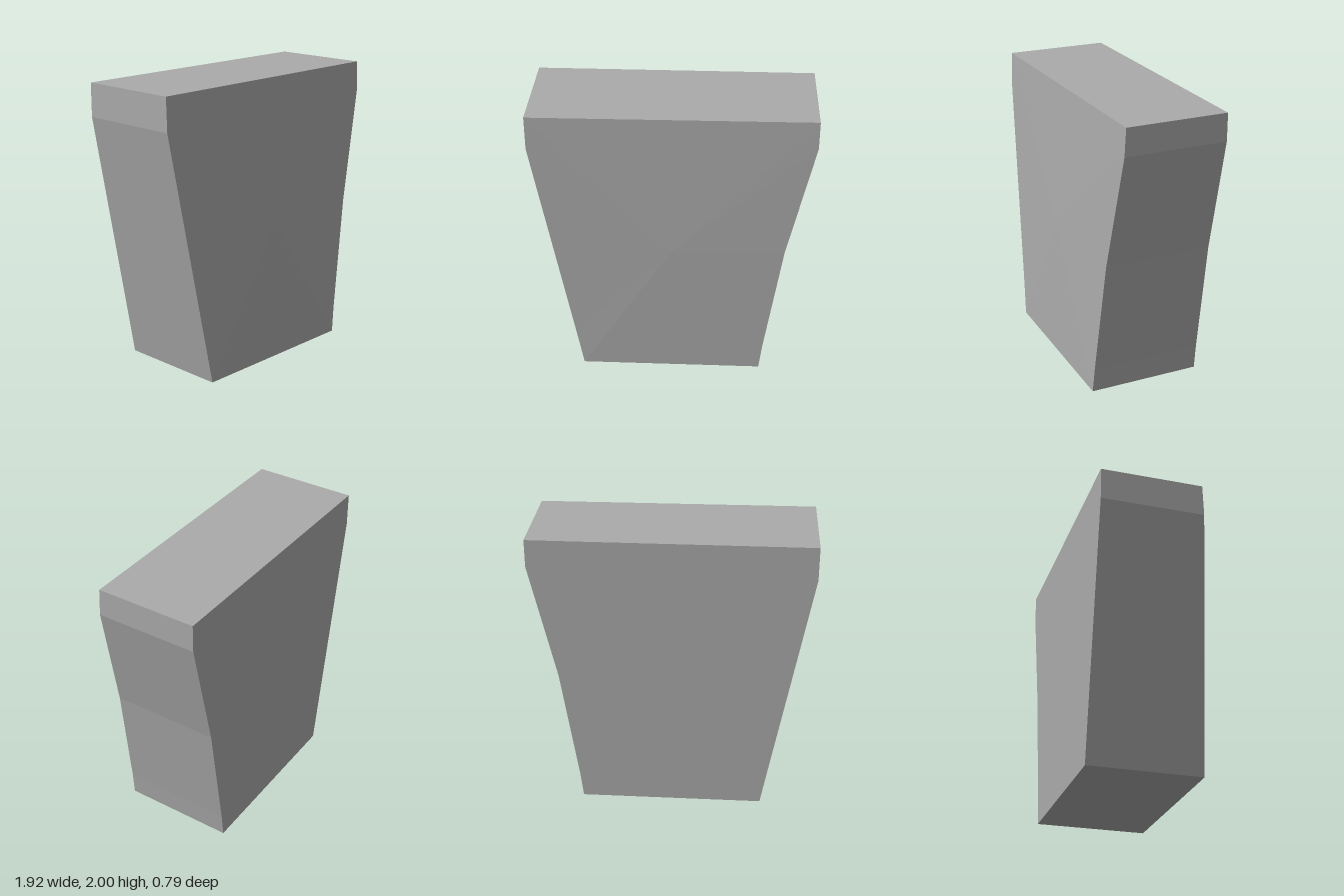
import * as THREE from 'three';

export function createModel() {
  const group = new THREE.Group();
  const grey = new THREE.MeshStandardMaterial({ color: 0xaaaaaa });
  grey.name = 'plain grey';

  // Front outline, counter-clockwise: x, y, front depth z
  const outline = [
    [-0.64, 0, 0.397], [0.64, 0, 0.397], [0.66, 0.18, 0.39], [0.78, 1.0, 0.36],
    [0.96, 1.81, 0.32], [0.96, 2, 0.31], [-0.96, 2, 0.328], [-0.96, 1.77, 0.335],
    [-0.69, 0.28, 0.386],
  ];
  const backZ = -0.397;
  const frontPeak = [0, 1, 0.383];
  const backCentre = [0, 1, backZ];

  // Fan the slightly raised front and the flat back, and join them with side walls
  const positions = [];
  const triangle = (...corners) => corners.forEach((c) => positions.push(...c));
  outline.forEach((a, i) => {
    const b = outline[(i + 1) % outline.length];
    const backA = [a[0], a[1], backZ];
    const backB = [b[0], b[1], backZ];
    triangle(frontPeak, a, b);
    triangle(backCentre, backB, backA);
    triangle(a, backA, backB);
    triangle(a, backB, b);
  });

  const geometry = new THREE.BufferGeometry();
  geometry.setAttribute('position', new THREE.Float32BufferAttribute(positions, 3));
  geometry.computeVertexNormals(); // unshared corners give flat faces

  const block = new THREE.Mesh(geometry, grey);
  block.name = 'taperedBlock';
  group.add(block);
  return group;
}
